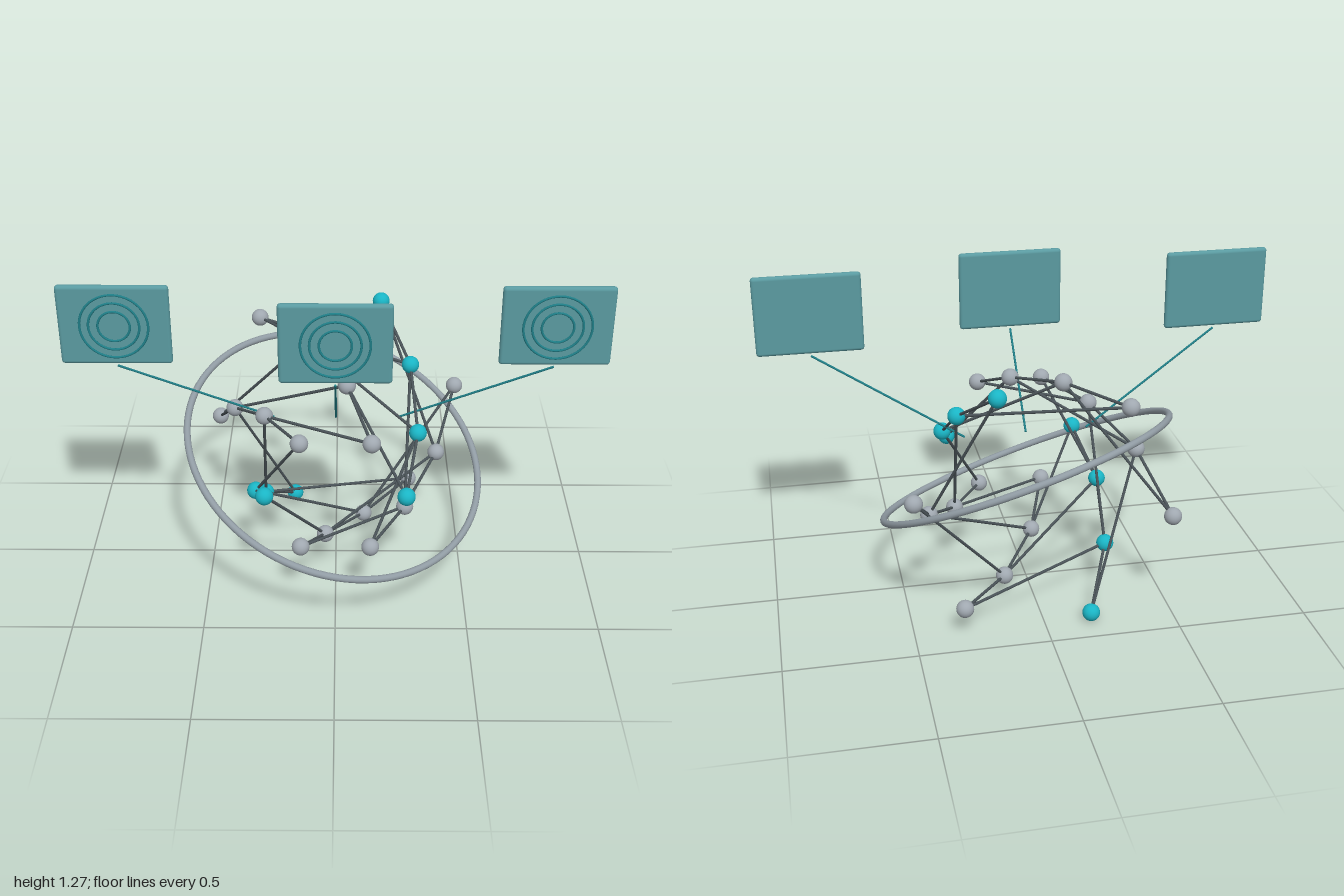
import * as THREE from 'three';
import { RoundedBoxGeometry } from 'three/addons/geometries/RoundedBoxGeometry.js';

const mat = (name, color) => {
  const m = new THREE.MeshStandardMaterial({ color });
  m.name = name;
  return m;
};

export function createModel() {
  const group = new THREE.Group();
  const silver = mat('silver', 0xa0a8b0);
  const ringGrey = mat('ring grey', 0x919ca4);
  const cyan = mat('cyan', 0x1ab5c5);
  const slate = mat('slate', 0x4a5358);
  const panelTeal = mat('panel teal', 0x5a9aa0);
  const darkTeal = mat('dark teal', 0x1f7f88);

  const add = (name, geometry, material, parent = group) => {
    const mesh = new THREE.Mesh(geometry, material);
    mesh.name = name;
    parent.add(mesh);
    return mesh;
  };

  // Thin straight rod between two points
  const UP = new THREE.Vector3(0, 1, 0);
  const rod = (name, a, b, radius, material) => {
    const dir = b.clone().sub(a);
    const mesh = add(name, new THREE.CylinderGeometry(radius, radius, dir.length(), 8), material);
    mesh.position.copy(a).add(b).multiplyScalar(0.5);
    mesh.quaternion.setFromUnitVectors(UP, dir.normalize());
  };

  // Four twisting, widening layers of six nodes
  const LAYERS = 4, COUNT = 6;
  const node = (i, j) => {
    const angle = (j * Math.PI * 2) / COUNT + i * 0.4;
    const r = 0.265 + i * 0.0763;
    return new THREE.Vector3(r * Math.cos(angle), 0.5 + r * Math.sin(angle), 0.34 - i * 0.2417);
  };
  const ball = new THREE.SphereGeometry(0.034, 24, 16);
  for (let i = 0; i < LAYERS; i++) {
    for (let j = 0; j < COUNT; j++) {
      const p = node(i, j);
      add('node', ball, j % 3 === 0 ? cyan : silver).position.copy(p);
      // Each node links to two nodes of the next layer
      if (i < LAYERS - 1) {
        rod('link', p, node(i + 1, j), 0.0058, slate);
        rod('link', p, node(i + 1, j + 1), 0.0058, slate);
      }
    }
  }

  // Tilted orbit ring
  const orbit = add('orbitRing', new THREE.TorusGeometry(0.595, 0.0135, 12, 96), ringGrey);
  orbit.position.y = 0.5;
  orbit.quaternion.setFromUnitVectors(
    new THREE.Vector3(0, 0, 1), new THREE.Vector3(0.285, 0.895, 0.34).normalize());

  // Three floating panels with concentric rings and a stem each
  const panels = [[-0.797, 0.168, -0.24], [0, 0.315, 0], [0.797, 0.168, 0.24]];
  for (const [x, z, footX] of panels) {
    const panel = new THREE.Group();
    panel.name = 'panel';
    panel.position.set(x, 1.125, z);
    group.add(panel);
    add('panelPlate', new RoundedBoxGeometry(0.406, 0.31, 0.027, 4, 0.013), panelTeal, panel);
    for (const r of [0.058, 0.092, 0.124]) {
      add('panelRing', new THREE.TorusGeometry(r, 0.0045, 8, 48), darkTeal, panel).position.z = 0.0175;
    }
    rod('panelStem', new THREE.Vector3(x, 0.958, z), new THREE.Vector3(footX, 0.645, 0), 0.0042, darkTeal);
  }
  return group;
}
